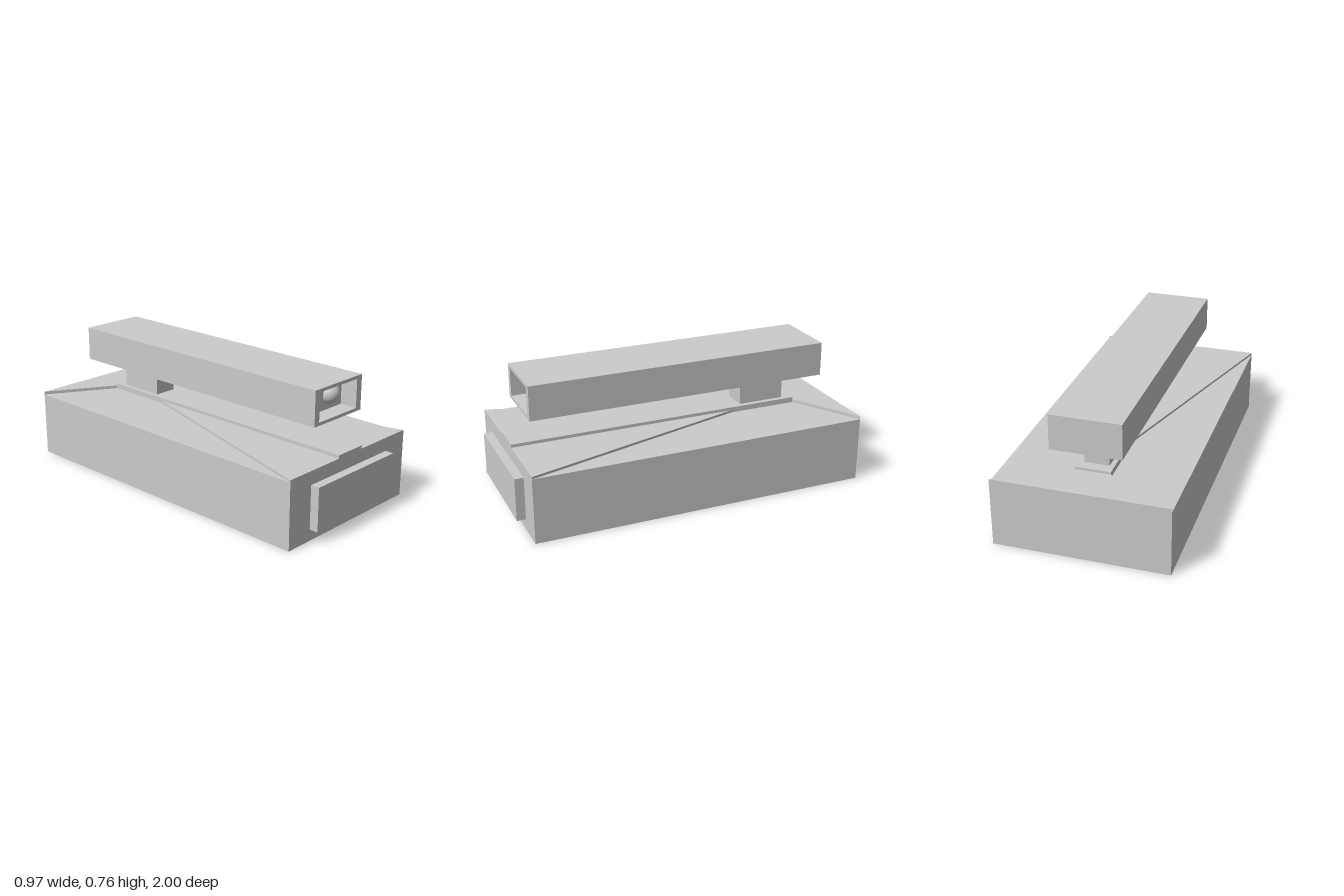
import * as THREE from 'three';

const material = new THREE.MeshStandardMaterial({ color: 0xcccccc, flatShading: true });

export function createModel() {
  const model = new THREE.Group();

  const add = (name, geometry, parent = model) => {
    const mesh = new THREE.Mesh(geometry, material);
    mesh.name = name;
    parent.add(mesh);
    return mesh;
  };
  // box given by its minimum and maximum on each axis
  const box = (name, [x0, x1], [y0, y1], [z0, z1], parent) =>
    add(name, new THREE.BoxGeometry(x1 - x0, y1 - y0, z1 - z0)
      .translate((x0 + x1) / 2, (y0 + y1) / 2, (z0 + z1) / 2), parent);
  // flat slab from an outline of [x, z] points
  const slab = (name, outline, y0, y1) => {
    const shape = new THREE.Shape(outline.map(([x, z]) => new THREE.Vector2(x, -z)));
    const geometry = new THREE.ExtrudeGeometry(shape, { depth: y1 - y0, bevelEnabled: false });
    add(name, geometry.rotateX(-Math.PI / 2).translate(0, y0, 0));
  };

  // main body; its top shows as the two sunken side panels
  const W = 0.483, R = 0.097, sunk = 0.373;
  box('body', [-W, W], [0, sunk], [-1, 0.95]);

  // raised panels that taper from the body corners to the central rail
  slab('frontTopPanel', [[-W, 0.95], [W, 0.95], [R, -0.37], [-R, -0.37]], sunk, 0.386);
  slab('rearTopPanel', [[W, -1], [-W, -1], [-R, -0.775], [R, -0.775]], sunk, 0.391);
  box('rail', [-R, R], [sunk, 0.404], [-0.775, 0.95]);

  // front plate
  box('frontPlate', [-0.32, 0.32], [0.064, 0.309], [0.95, 1]);

  // neck carrying the upper housing
  box('neck', [-0.07, 0.068], [0.404, 0.56], [-0.713, -0.438]);

  // upper housing: solid rear and an open frame around the lens recess
  const housing = new THREE.Group();
  housing.name = 'upperHousing';
  model.add(housing);
  const recessZ = 0.765, frontZ = 0.865;
  box('housingBody', [-0.2, 0.187], [0.56, 0.757], [-0.9, recessZ], housing);

  const rect = (path, x0, x1, y0, y1) =>
    path.moveTo(x0, y0).lineTo(x1, y0).lineTo(x1, y1).lineTo(x0, y1).closePath();
  const frame = new THREE.Shape();
  rect(frame, -0.2, 0.187, 0.56, 0.757);
  const opening = new THREE.Path();
  rect(opening, -0.163, 0.147, 0.578, 0.739);
  frame.holes.push(opening);
  add('housingFrame', new THREE.ExtrudeGeometry(frame, { depth: frontZ - recessZ, bevelEnabled: false })
    .translate(0, 0, recessZ), housing);

  // lenses half sunk in the back of the recess
  [['largeLens', 0.047, 0.662, 0.056], ['upperLens', -0.085, 0.698, 0.037], ['lowerLens', -0.085, 0.62, 0.037]]
    .forEach(([name, x, y, r]) => add(name, new THREE.SphereGeometry(r, 32, 16), housing).position.set(x, y, recessZ));

  return model;
}
